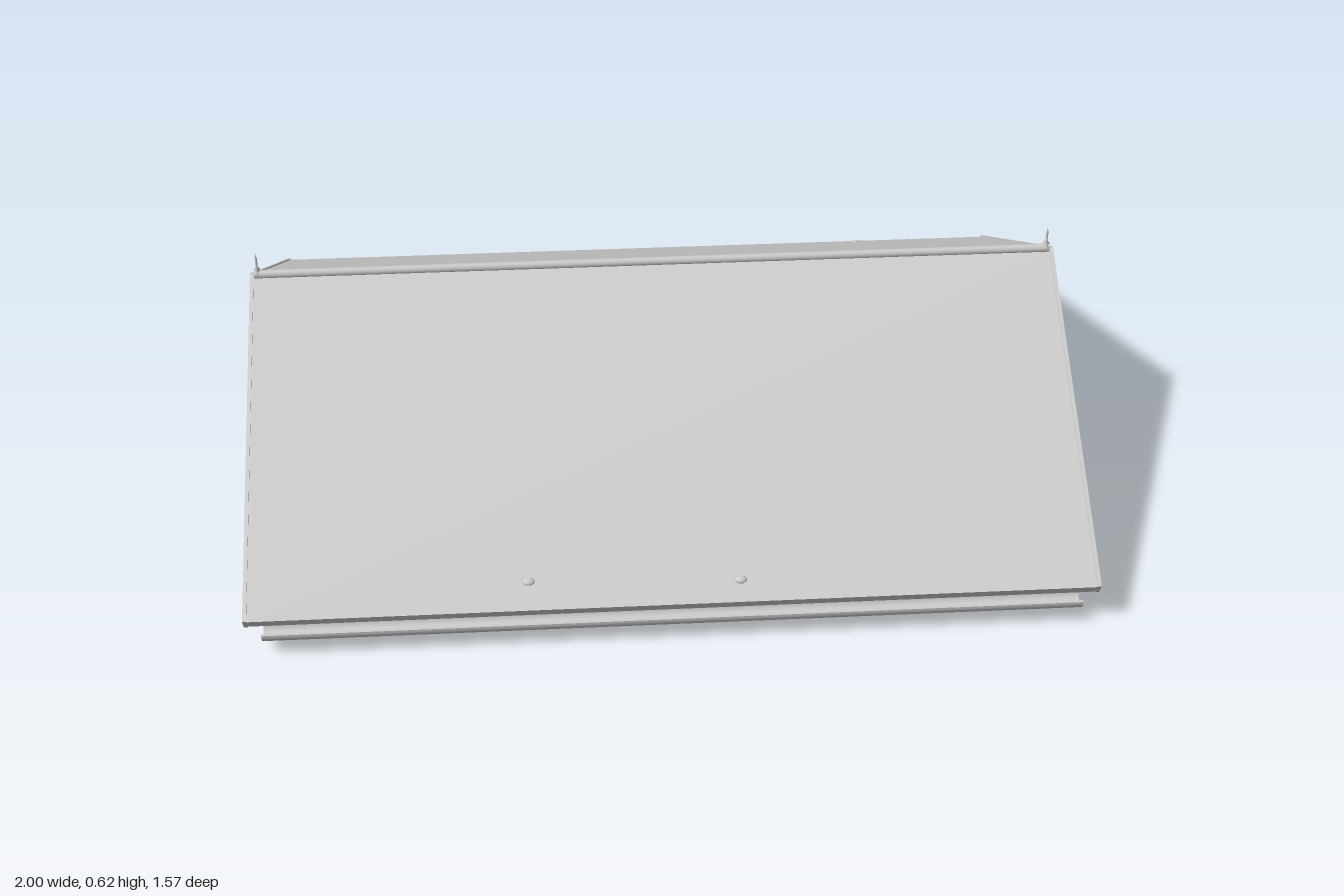
import * as THREE from 'three';

export function createModel() {
  const root = new THREE.Group();
  const grey = new THREE.MeshStandardMaterial({ color: 0xcccccc });
  grey.name = 'light grey';
  const greySheet = new THREE.MeshStandardMaterial({ color: 0xcccccc, side: THREE.DoubleSide });
  greySheet.name = 'light grey sheet';

  const add = (name, geometry, x = 0, y = 0, z = 0, material = grey) => {
    const mesh = new THREE.Mesh(geometry, material);
    mesh.name = name;
    mesh.position.set(x, y, z);
    root.add(mesh);
    return mesh;
  };

  // Extrudes a [z, y] outline along x, centred on the given x
  const extrudeX = (name, points, length, x = 0) => {
    const shape = new THREE.Shape(points.map(([z, y]) => new THREE.Vector2(-z, y)));
    const geometry = new THREE.ExtrudeGeometry(shape, { depth: length, bevelEnabled: false });
    geometry.translate(0, 0, -length / 2).rotateY(Math.PI / 2);
    return add(name, geometry, x);
  };

  // Roof: two slopes at thirty degrees meeting in a folded slab
  const roof = [[0, 0.555], [0.78, 0.105], [0.763, 0.077], [0, 0.517], [-0.763, 0.077], [-0.78, 0.105]];
  extrudeX('roofSlab', roof, 1.984);
  const verge = [[0, 0.559], [0.782, 0.108], [0.763, 0.075], [0, 0.515], [-0.763, 0.075], [-0.782, 0.108]];
  for (const s of [-1, 1]) extrudeX('vergeTrim', verge, 0.009, s * 0.9955);

  // Ridge cap
  const cap = add('ridgeCap', new THREE.CylinderGeometry(0.011, 0.011, 1.98, 12), 0, 0.555, 0);
  cap.rotation.z = Math.PI / 2;

  // Gable walls set back under the roof
  for (const s of [-1, 1]) {
    extrudeX('gableWall', [[0.723, 0.1], [0, 0.517], [-0.723, 0.1]], 0.07, s * 0.87);
  }

  // Hollow moulded cornice: outward offset and height around a rectangular ring
  const profile = [
    [-0.04, 0], [0, 0], [0, 0.034], [0.015, 0.034], [0.018, 0.043], [0.027, 0.05],
    [0.04, 0.056], [0.045, 0.063], [0.05, 0.065], [0.05, 0.087], [0.005, 0.087],
    [0.005, 0.1], [-0.04, 0.1], [-0.04, 0],
  ];
  const corners = [[1, 1], [1, -1], [-1, -1], [-1, 1], [1, 1]];
  const positions = [];
  const point = ([sx, sz], [o, y]) => [sx * (0.91 + o), y, sz * (0.68 + o)];
  for (let i = 0; i < 4; i++) {
    for (let j = 0; j < profile.length - 1; j++) {
      const a = point(corners[i], profile[j]), b = point(corners[i + 1], profile[j]);
      const c = point(corners[i + 1], profile[j + 1]), d = point(corners[i], profile[j + 1]);
      positions.push(...a, ...b, ...c, ...a, ...c, ...d);
    }
  }
  const cornice = new THREE.BufferGeometry();
  cornice.setAttribute('position', new THREE.Float32BufferAttribute(positions, 3));
  cornice.computeVertexNormals();
  add('cornice', cornice);

  // Half-round gutters under both eaves
  for (const s of [-1, 1]) {
    const gutter = new THREE.CylinderGeometry(0.026, 0.026, 1.92, 14, 1, true, 0, Math.PI);
    gutter.rotateZ(-Math.PI / 2).rotateX(Math.PI);
    gutter.computeBoundingBox();
    // Keep the open side upward
    if (gutter.boundingBox.max.y > 0.02) gutter.rotateX(Math.PI);
    add('gutter', gutter, 0, 0.062, s * 0.759, greySheet);
    add('gutterLip', new THREE.BoxGeometry(1.92, 0.005, 0.007), 0, 0.064, s * 0.783);
    add('gutterBack', new THREE.BoxGeometry(1.92, 0.025, 0.003), 0, 0.072, s * 0.734);
  }

  // Turned finials at the ridge ends
  const finial = [[0, 0], [0.011, 0], [0.011, 0.006], [0.006, 0.01], [0.008, 0.015], [0.003, 0.022], [0.003, 0.045], [0, 0.062]]
    .map(([r, y]) => new THREE.Vector2(r, y));
  for (const s of [-1, 1]) add('finial', new THREE.LatheGeometry(finial, 12), s * 0.982, 0.555, 0);

  // Small roof vents near the eaves
  for (const [x, z] of [[-0.34, 0.718], [0.155, 0.732], [0.62, -0.725]]) {
    const vent = add('roofVent', new THREE.SphereGeometry(0.015, 10, 6), x, 0.555 - Math.abs(z) * 0.577, z);
    vent.scale.set(1, 0.4, 0.7);
    vent.rotation.x = Math.sign(z) * Math.PI / 6;
  }
  return root;
}
